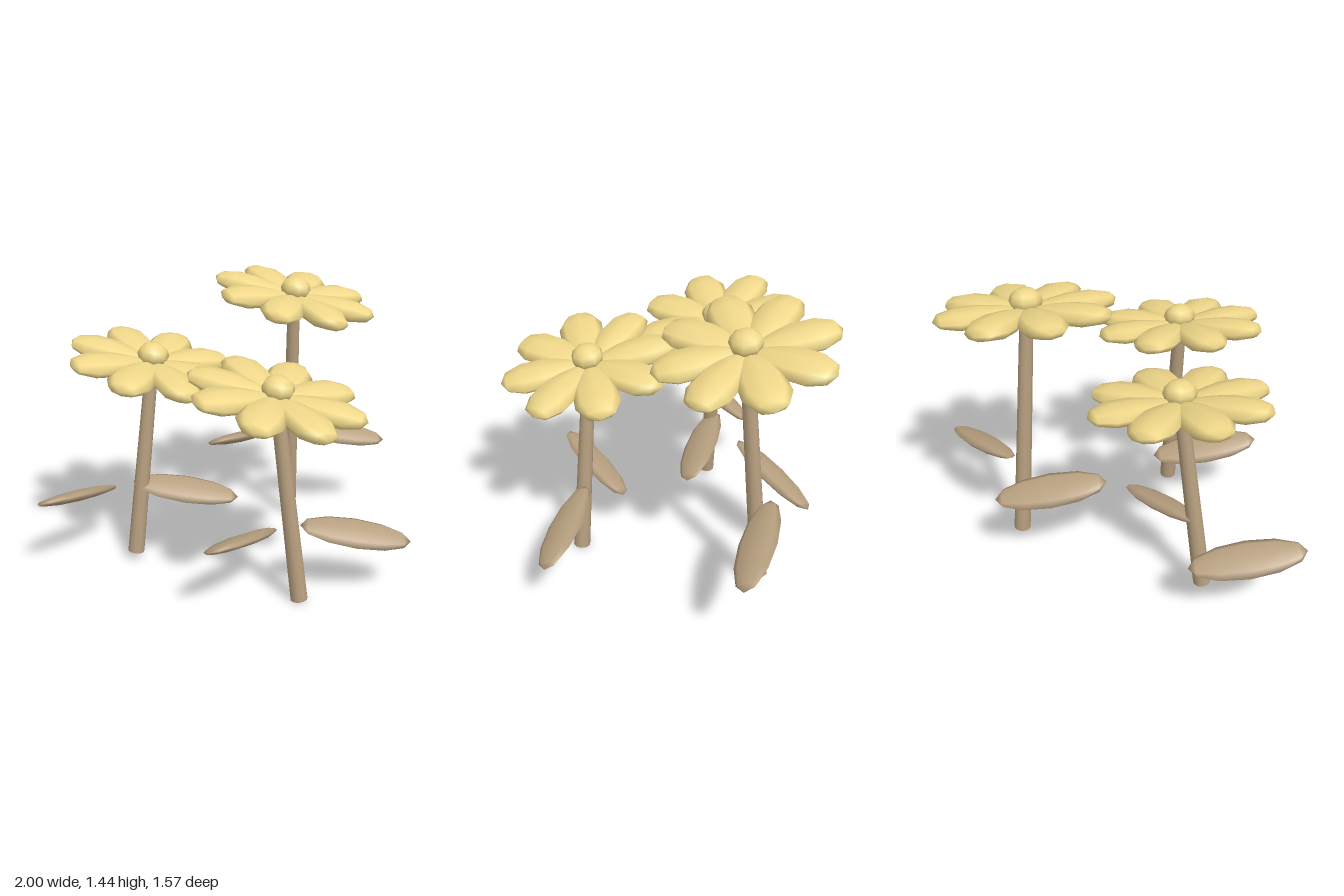
import * as THREE from 'three';
import { mergeVertices } from 'three/addons/utils/BufferGeometryUtils.js';

const petalMat = new THREE.MeshStandardMaterial({ color: 0xf0d88a });
const stemMat = new THREE.MeshStandardMaterial({ color: 0xb8a080 });
const V = (x, y, z) => new THREE.Vector3(x, y, z);

// Pointed low-poly blade along +x, centred; "flare" widens the +x end
function blade(length, halfWidth, halfThick, flare) {
  const geo = new THREE.SphereGeometry(1, 8, 6).rotateZ(-Math.PI / 2);
  const p = geo.attributes.position;
  for (let i = 0; i < p.count; i++) {
    const x = p.getX(i), f = 1 + flare * x;
    p.setXYZ(i, x * length / 2, p.getY(i) * halfThick * f, p.getZ(i) * halfWidth * f);
  }
  geo.deleteAttribute('uv');
  geo.deleteAttribute('normal');
  const merged = mergeVertices(geo, 1e-5);
  merged.computeVertexNormals();
  return merged;
}

function add(parent, geo, mat, name) {
  const mesh = new THREE.Mesh(geo, mat);
  mesh.name = name;
  parent.add(mesh);
  return mesh;
}

const petalGeo = blade(0.435, 0.107, 0.047, 0.35).translate(0.2175, 0, 0);
const leafGeo = blade(0.555, 0.098, 0.03, 0);

// Leaf laid between two points, with its flat side facing near "normal"
function leaf(parent, a, b, normal, name) {
  const mesh = add(parent, leafGeo, stemMat, name);
  const x = b.clone().sub(a).normalize();
  const z = x.clone().cross(normal).normalize();
  const y = z.clone().cross(x);
  mesh.quaternion.setFromRotationMatrix(new THREE.Matrix4().makeBasis(x, y, z));
  mesh.position.copy(a).add(b).multiplyScalar(0.5);
}

function flower(base, top, h) {
  const group = new THREE.Group();
  group.name = 'flower';

  // Tapered leaning stem
  const axis = top.clone().sub(base), len = axis.length();
  const stem = add(group, new THREE.CylinderGeometry(0.033, 0.043, len, 10), stemMat, 'stem');
  stem.position.copy(base).addScaledVector(axis, 0.5);
  stem.quaternion.setFromUnitVectors(V(0, 1, 0), axis.normalize());

  // Pair of leaves
  const at = (x, y, z) => V(x, y, z).add(base);
  leaf(group, at(0.015, h, -0.03), at(0.5, h - 0.105, 0.225), V(0, 1, 0.45), 'leftLeaf');
  leaf(group, at(-0.5, h, -0.01), at(-0.015, h - 0.105, -0.23), V(0, 1, -0.45), 'rightLeaf');

  // Tilted head: ring of petals round a centre button
  const head = new THREE.Group();
  head.name = 'flowerHead';
  head.position.copy(top);
  head.quaternion.setFromUnitVectors(V(0, 1, 0), V(0.12, 1, 0.165).normalize());
  for (let i = 0; i < 8; i++) {
    add(head, petalGeo, petalMat, 'petal').rotation.y = i * Math.PI / 4;
  }
  const button = add(head, new THREE.SphereGeometry(0.08, 8, 6), petalMat, 'flowerCentre');
  button.scale.y = 0.75;
  button.position.y = 0.045;
  button.rotation.y = Math.PI / 8;
  group.add(head);
  return group;
}

export function createModel() {
  const model = new THREE.Group();
  model.name = 'flowers';
  model.add(
    flower(V(0.015, 0.01, 0.447), V(-0.073, 1.053, 0.355), 0.39),
    flower(V(-0.5, 0.05, -0.35), V(-0.362, 1.075, -0.355), 0.39),
    flower(V(0.495, 0.09, -0.39), V(0.437, 1.33, -0.285), 0.46),
  );
  return model;
}
